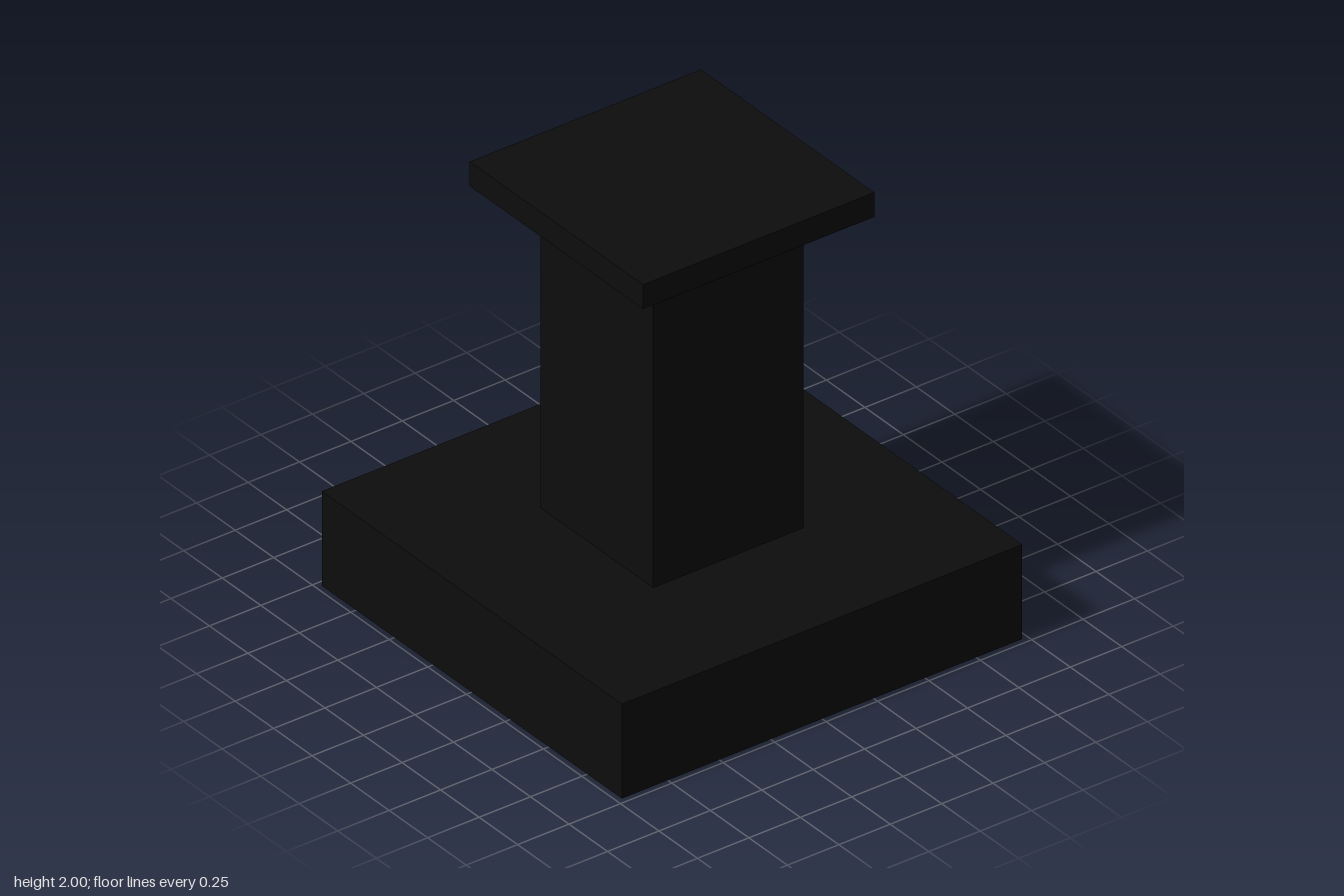
import * as THREE from 'three';

export function createModel() {
  const model = new THREE.Group();
  model.name = 'pedestal';

  const black = new THREE.MeshStandardMaterial({ color: 0x0d0d0d });
  black.name = 'black';

  // Square block of a given width, spanning two heights
  function addBlock(name, width, bottom, top) {
    const mesh = new THREE.Mesh(new THREE.BoxGeometry(width, top - bottom, width), black);
    mesh.name = name;
    mesh.position.y = (bottom + top) / 2;
    model.add(mesh);
  }

  addBlock('base', 1.947, 0, 0.434);
  addBlock('column', 0.73, 0.434, 1.888);
  addBlock('cap', 1.125, 1.888, 2);

  return model;
}
